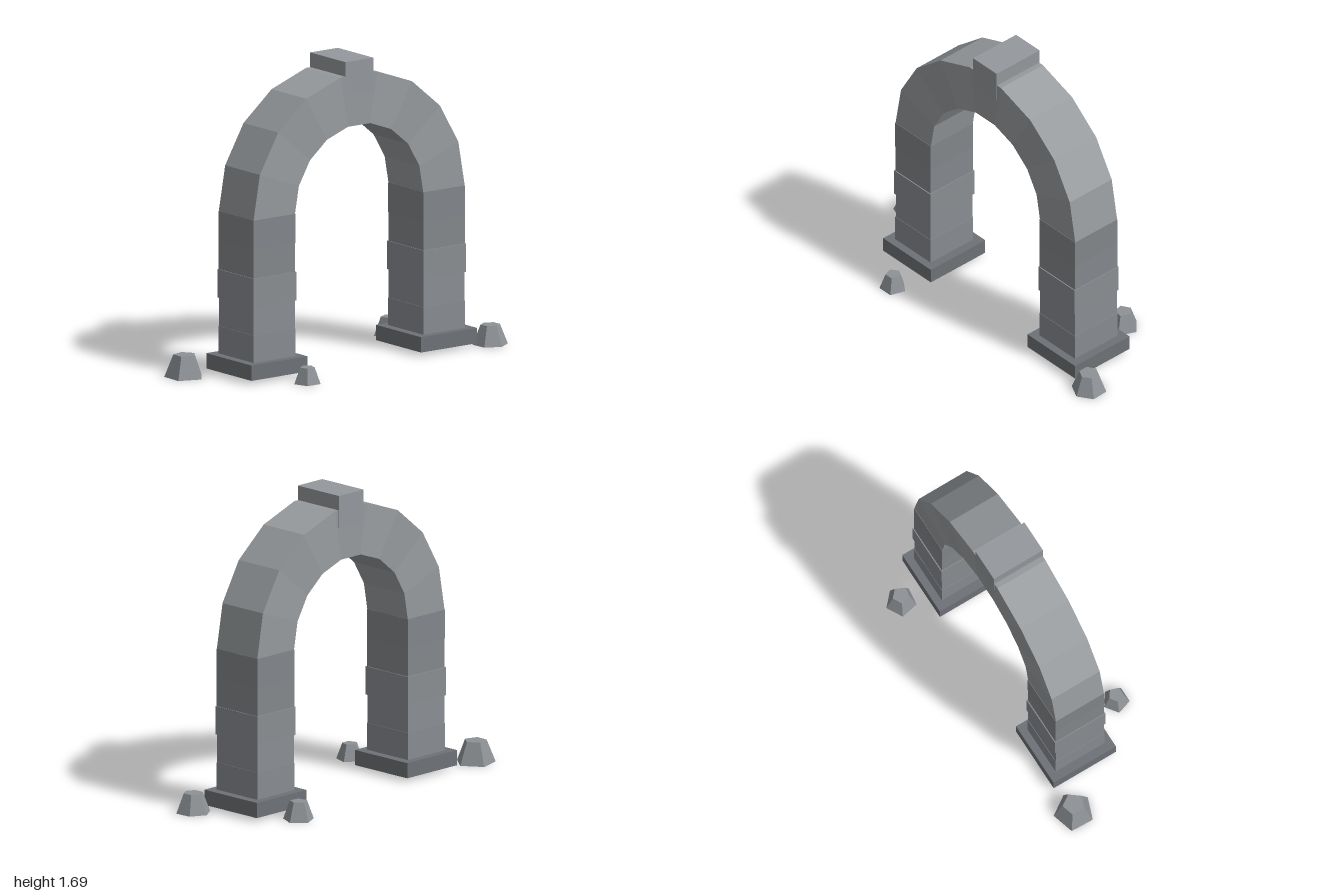
import * as THREE from 'three';

const CX = 0.037, CZ = -0.004;          // middle of the arch
const R_OUT = 0.725, R_IN = 0.44;       // arch ring radii
const SPRING = 0.895, DEPTH = 0.307;    // height where the ring starts, wall depth
const SEGMENTS = 9;

export function createModel() {
  const model = new THREE.Group();
  model.name = 'stoneArch';

  const add = (parent, name, color, geometry, x, y, z) => {
    const material = new THREE.MeshStandardMaterial({ color, flatShading: true });
    const mesh = new THREE.Mesh(geometry, material);
    mesh.name = name;
    mesh.position.set(x, y, z);
    parent.add(mesh);
    return mesh;
  };
  // Box between two heights
  const block = (parent, name, color, w, d, y0, y1, x) =>
    add(parent, name, color, new THREE.BoxGeometry(w, y1 - y0, d), x, (y0 + y1) / 2, CZ);

  // Piers: a dark plinth and five stacked blocks of slightly different size and shade
  const levels = [0.105, 0.257, 0.415, 0.573, 0.733, SPRING];
  const blocks = [
    [0.286, 0.311, 0x888c91], [0.282, 0.307, 0x8a8e93], [0.294, 0.322, 0x8a8e92],
    [0.285, 0.31, 0x84888c], [0.286, 0.311, 0x82868a],
  ];
  for (const side of [-1, 1]) {
    const pier = new THREE.Group();
    pier.name = side > 0 ? 'leftPier' : 'rightPier';
    const x = CX + side * (R_OUT + R_IN) / 2;
    block(pier, 'plinth', 0x6e7276, 0.385, 0.398, 0.02, 0.105, x);
    blocks.forEach(([w, d, color], i) =>
      block(pier, 'pierBlock', color, w, d, levels[i], levels[i + 1], x));
    model.add(pier);
  }

  // Ring of wedge-shaped stones in alternating shades
  const ring = new THREE.Group();
  ring.name = 'archRing';
  for (let i = 0; i < SEGMENTS; i++) {
    const a = (i / SEGMENTS) * Math.PI, b = ((i + 1) / SEGMENTS) * Math.PI;
    const at = (r, t) => new THREE.Vector2(r * Math.cos(t), r * Math.sin(t));
    const wedge = new THREE.Shape([at(R_IN, a), at(R_OUT, a), at(R_OUT, b), at(R_IN, b)]);
    const geometry = new THREE.ExtrudeGeometry(wedge, { depth: DEPTH, bevelEnabled: false });
    add(ring, 'archStone', i % 2 ? 0x9a9ea1 : 0x969a9d, geometry, CX, SPRING, CZ - DEPTH / 2);
  }
  model.add(ring);

  block(model, 'keystone', 0x94989c, 0.19, 0.314, 1.51, 1.69, CX);

  // Loose rocks around the feet: x, z, radius, height, sides, turn in degrees
  const rocks = [
    [-0.905, -0.178, 0.112, 0.125, 5, 16],
    [0.62, -0.332, 0.087, 0.105, 5, 29],
    [-0.479, 0.356, 0.075, 0.09, 5, 36],
    [0.911, 0.183, 0.097, 0.11, 6, 3],
  ];
  for (const [x, z, r, h, sides, turn] of rocks) {
    const geometry = new THREE.CylinderGeometry(r * 0.56, r, h, sides);
    const rock = add(model, 'rock', 0x8e9296, geometry, x, h / 2, z);
    rock.rotation.y = THREE.MathUtils.degToRad(turn);
  }
  return model;
}
